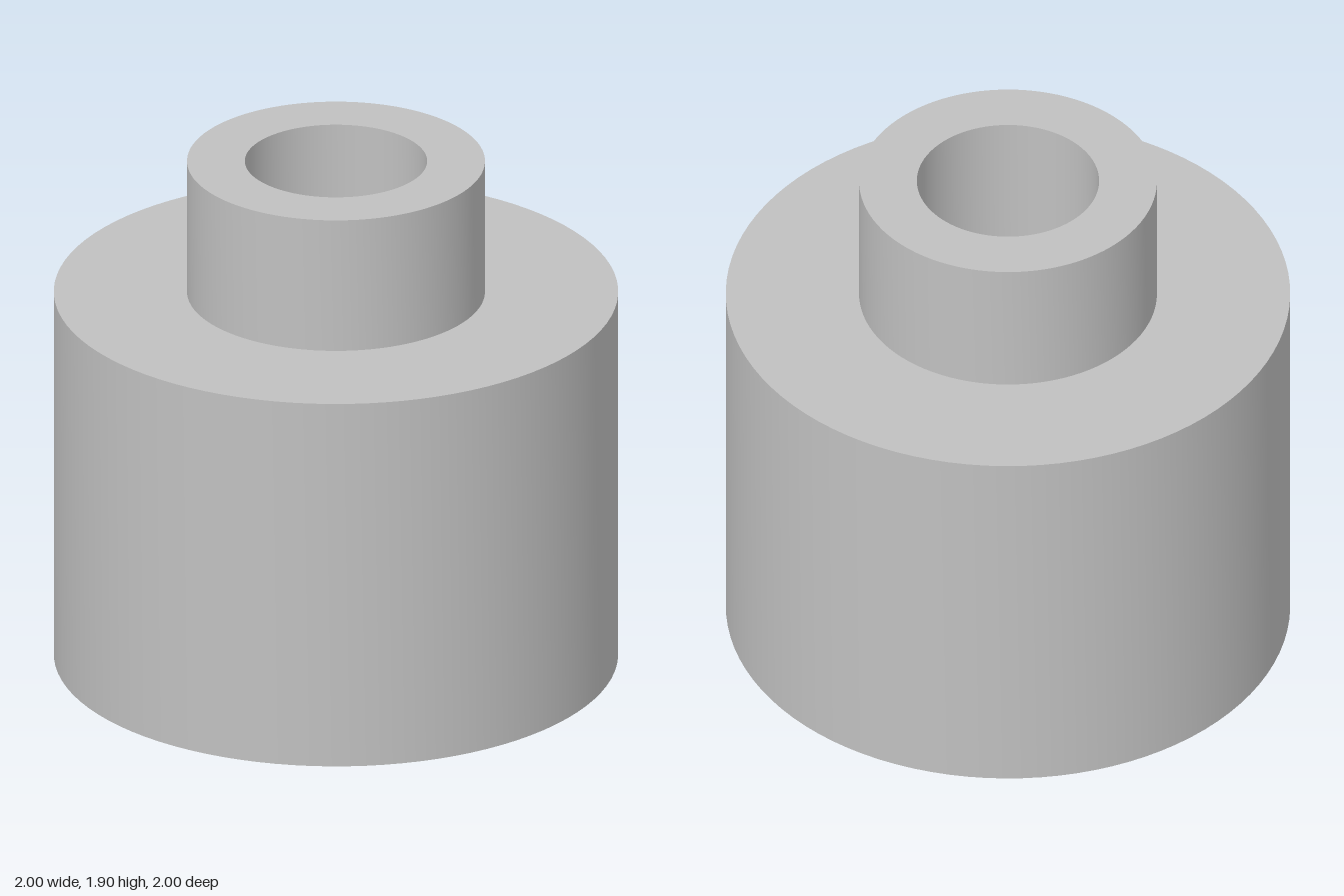
import * as THREE from 'three';
import { toCreasedNormals } from 'three/addons/utils/BufferGeometryUtils.js';

const SIDES = 96;
const BODY_R = 1, BODY_H = 1.4;
const COLLAR_R = 0.528, TOP = 1.904;
const BORE_R = 0.323;
const HEX_R = 0.67, HEX_DEPTH = 0.605;

// Regular polygon with its first corner on +x
function polygon(radius, sides) {
  return Array.from({ length: sides }, (_, i) => {
    const a = (i / sides) * Math.PI * 2;
    return new THREE.Vector2(radius * Math.cos(a), radius * Math.sin(a));
  });
}

// Flat plate with a hole, facing down
function downFace(outer, inner, y) {
  const shape = new THREE.Shape(outer);
  shape.holes.push(new THREE.Path(inner));
  return new THREE.ShapeGeometry(shape).rotateX(Math.PI / 2).translate(0, y, 0);
}

// Turned wall: a rising profile faces outward, a falling one inward
function turned(profile, sides) {
  const points = profile.map(([r, y]) => new THREE.Vector2(r, y));
  return toCreasedNormals(new THREE.LatheGeometry(points, sides, Math.PI / 2), 0.5);
}

export function createModel() {
  const model = new THREE.Group();
  const grey = new THREE.MeshStandardMaterial({ color: 0xc0c0c0 });
  grey.name = 'light grey';

  const add = (name, geometry) => {
    const mesh = new THREE.Mesh(geometry, grey);
    mesh.name = name;
    model.add(mesh);
  };

  // Wide drum with its flat shoulder
  add('body', turned([[BODY_R, 0], [BODY_R, BODY_H], [COLLAR_R, BODY_H]], SIDES));

  // Narrow collar with its top rim
  add('collar', turned([[COLLAR_R, BODY_H], [COLLAR_R, TOP], [BORE_R, TOP]], SIDES));

  // Round hole running down from the top into the socket
  add('bore', turned([[BORE_R, TOP], [BORE_R, HEX_DEPTH]], SIDES));

  // Underside and hexagonal socket
  add('underside', downFace(polygon(BODY_R, SIDES), polygon(HEX_R, 6), 0));
  add('socketWalls', turned([[HEX_R, HEX_DEPTH], [HEX_R, 0]], 6));
  add('socketCeiling', downFace(polygon(HEX_R, 6), polygon(BORE_R, SIDES), HEX_DEPTH));

  return model;
}
